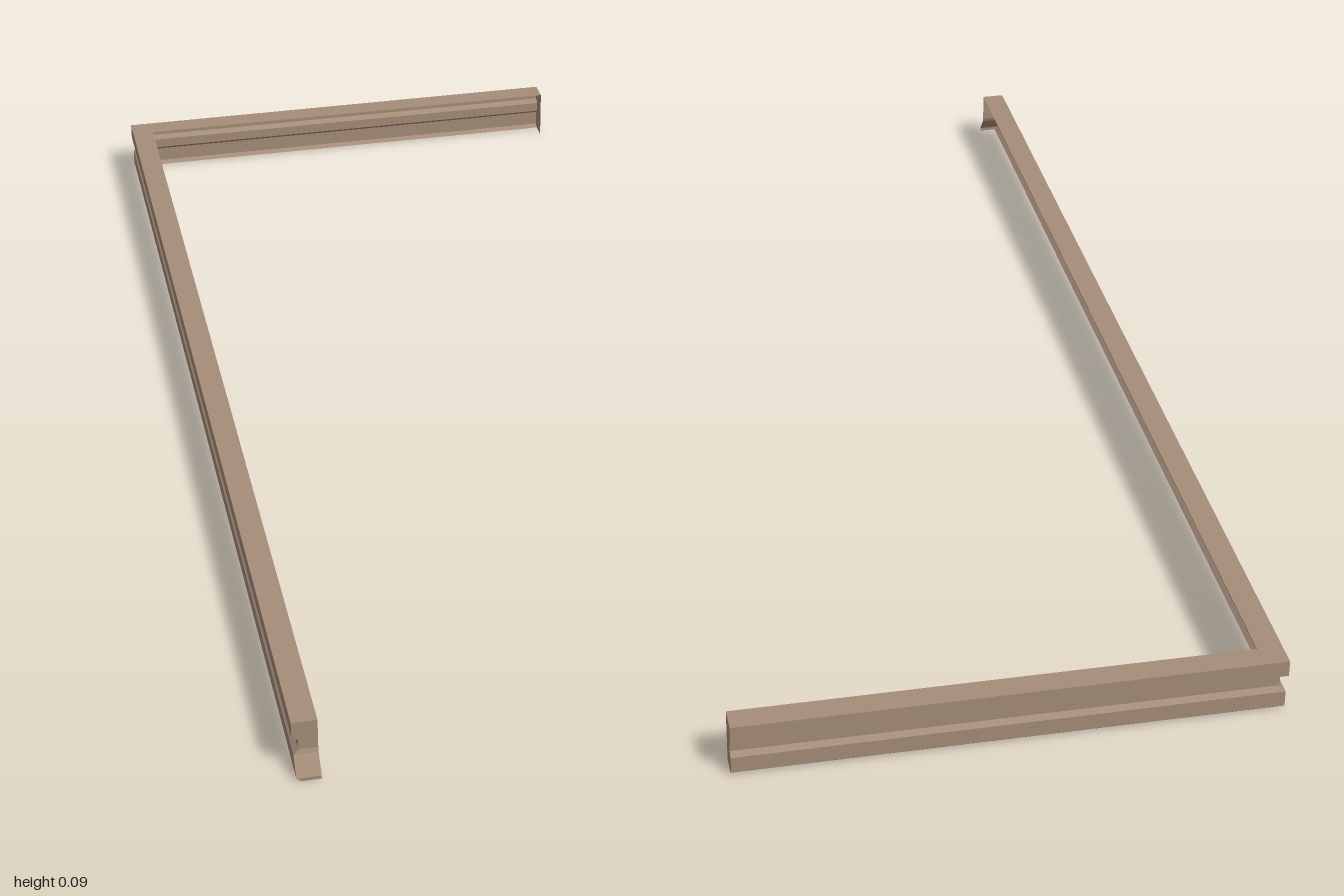
import * as THREE from 'three';

// Open moulding sheet: shaped outer face, then a flat top plate; [offset from outer face, height]
const outer = [
  [0.009, 0], [0.002, 0.006], [0.002, 0.033], [0.01, 0.04],
  [0.01, 0.058], [0.0, 0.064], [0.0, 0.091],
];
const WIDTH = 0.04, X = 0.427, Z = 1;
const profile = [...outer, [WIDTH, 0.091]];

// Front end: upright above, with a foot sloping forward below
const footZ = (y) => 0.975 + 0.025 * THREE.MathUtils.clamp((0.036 - y) / 0.028, 0, 1);

// Section placements, each mapping (offset, height) to a point
const frontEnd = (d, y) => [-X + d, y, footZ(y)];
const corner = (d, y) => [-X + d, y, -Z + d];
const sideEnd = (d, y) => [X, y, -Z + d];

// Mesh from a list of four-cornered faces
function quadMesh(name, quads, material) {
  const pos = quads.flatMap(([a, b, c, d]) => [a, b, c, a, c, d].flat());
  const geometry = new THREE.BufferGeometry();
  geometry.setAttribute('position', new THREE.Float32BufferAttribute(pos, 3));
  geometry.computeVertexNormals();
  const mesh = new THREE.Mesh(geometry, material);
  mesh.name = name;
  return mesh;
}

// Outer face and top plate between two sections
function rail(name, start, end, material) {
  const quads = profile.slice(1).map((q, k) => {
    const p = profile[k];
    return [start(...p), start(...q), end(...q), end(...p)];
  });
  return quadMesh(name, quads, material);
}

// End plate filling the section from the outer face to the full width
function endCap(name, place, flip, material) {
  const quads = outer.slice(1).map(([d1, y1], k) => {
    const [d0, y0] = outer[k];
    const face = [place(d0, y0), place(d1, y1), place(WIDTH, y1), place(WIDTH, y0)];
    return flip ? face.reverse() : face;
  });
  return quadMesh(name, quads, material);
}

export function createModel() {
  const wood = new THREE.MeshStandardMaterial({ color: 0xa58d78, side: THREE.DoubleSide });
  wood.name = 'taupe wood';
  const group = new THREE.Group();
  group.name = 'cornerMoulding';
  // Two open-backed rails meeting at a mitred corner, closed at the free ends
  group.add(
    rail('longRail', frontEnd, corner, wood),
    rail('shortRail', corner, sideEnd, wood),
    endCap('frontEndCap', frontEnd, true, wood),
    endCap('sideEndCap', sideEnd, false, wood),
  );
  return group;
}
